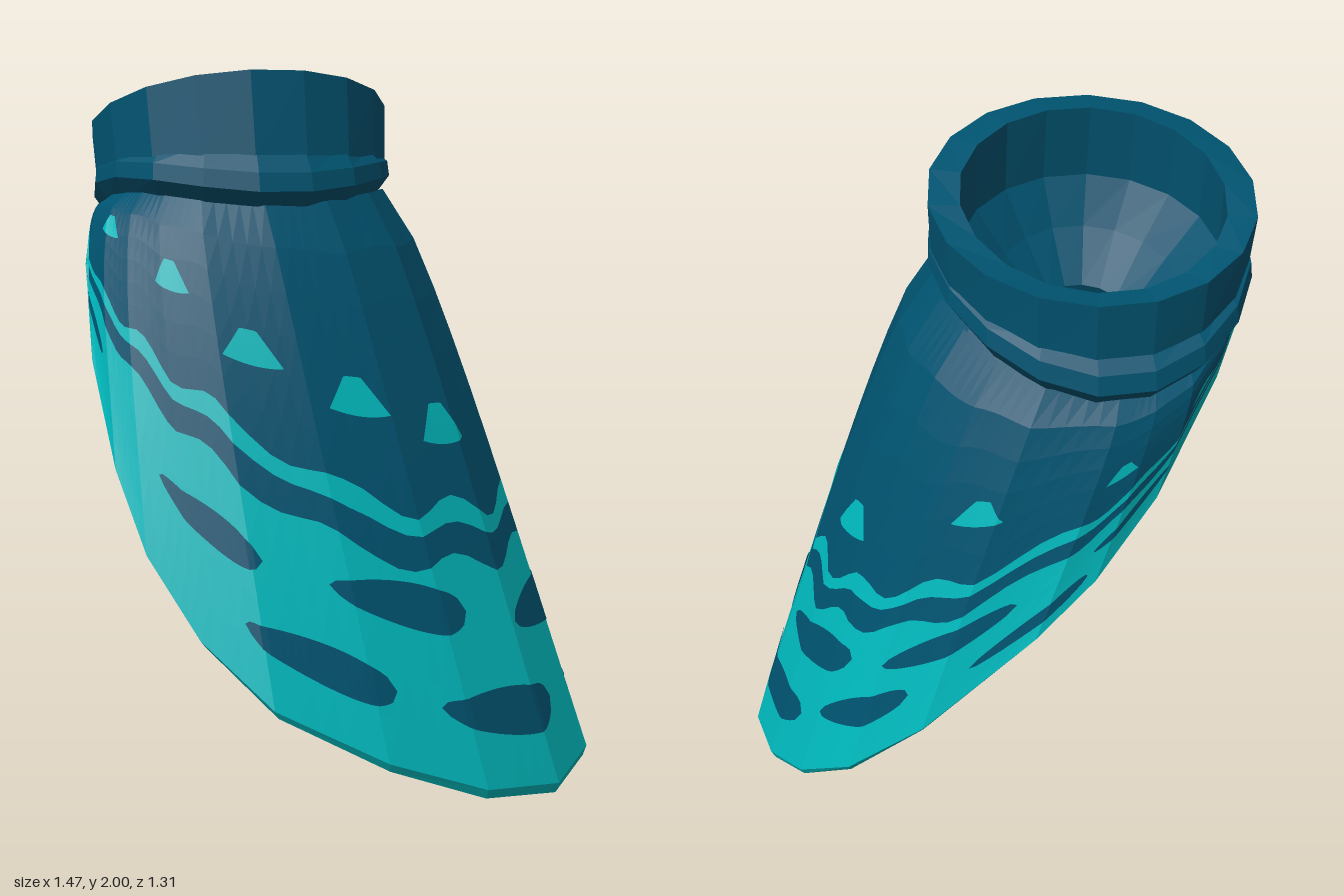
import * as THREE from 'three';

const navy = new THREE.MeshStandardMaterial({ color: 0x00526f, side: THREE.DoubleSide });
navy.name = 'deepBlue';
const teal = new THREE.MeshStandardMaterial({ color: 0x00b8bc, side: THREE.DoubleSide });
teal.name = 'teal';

// Slanted bottom rim, running from left (+x) over front (+z) to right and back
const RIM = [
  [0.74, 0.04, 0.05], [0.68, 0.01, 0.31], [0.48, 0, 0.51], [0.2, 0.07, 0.63], [-0.1, 0.2, 0.66],
  [-0.4, 0.37, 0.62], [-0.56, 0.54, 0.5], [-0.67, 0.75, 0.39], [-0.72, 0.96, 0.27], [-0.74, 1.23, 0.1],
  [-0.72, 1.48, -0.06], [-0.655, 1.565, -0.245], [-0.52, 1.44, -0.44], [-0.33, 1.18, -0.585], [-0.16, 0.98, -0.645],
  [0, 0.82, -0.66], [0.3, 0.5, -0.6], [0.5, 0.29, -0.49], [0.63, 0.15, -0.33], [0.71, 0.06, -0.14],
];
const COLS = RIM.length;
const THICK = 0.02;
const HEM = 0.982;

// Point on one column of the shell: t = 0 at the neck, 1 at the rim
function columnPoint(i, t, off) {
  const [rx, ry, rz] = RIM[((i % COLS) + COLS) % COLS];
  const a = Math.atan2(rz, rx), c = Math.cos(a), s = Math.sin(a);
  const neck = new THREE.Vector3(-0.23 + 0.4 * c, 1.66 + 0.09 * s - 0.1 * s * s, -0.17 + 0.38 * s);
  const rim = new THREE.Vector3(rx, ry, rz);
  // Fuller over the sides and back than over the front
  const length = neck.distanceTo(rim);
  const fullness = Math.min(1, length / 0.7) * (0.025 + (c < 0 ? 0.045 : 0.025) * c * c + 0.015 * Math.max(0, -s));
  const bulge = fullness * Math.sin(Math.PI * Math.pow(t, 0.48)) + off;
  return neck.lerp(rim, t).add(new THREE.Vector3(c * bulge, 0, s * bulge));
}

// Faceted shell: straight between neighbouring columns
function shell(u, t, off) {
  const i = Math.floor(u + 1e-6);
  return columnPoint(i, t, off).lerp(columnPoint(i + 1, t, off), Math.max(0, u - i));
}

// Flat-faceted surface from a grid of points
function grid(nu, nv, point) {
  const pos = [];
  for (let i = 0; i < nu; i++) {
    for (let j = 0; j < nv; j++) {
      const a = point(i / nu, j / nv), b = point((i + 1) / nu, j / nv);
      const c = point((i + 1) / nu, (j + 1) / nv), d = point(i / nu, (j + 1) / nv);
      for (const p of [a, b, c, a, c, d]) pos.push(p.x, p.y, p.z);
    }
  }
  const g = new THREE.BufferGeometry();
  g.setAttribute('position', new THREE.Float32BufferAttribute(pos, 3));
  g.computeVertexNormals();
  return g;
}

export function createModel() {
  const model = new THREE.Group();
  model.name = 'flaredSleeve';

  const add = (parent, name, geometry, material) => {
    const mesh = new THREE.Mesh(geometry, material);
    mesh.name = name;
    parent.add(mesh);
  };
  const group = (name) => {
    const g = new THREE.Group();
    g.name = name;
    model.add(g);
    return g;
  };

  // Wavy colour bands on both walls, climbing to the right shoulder and narrowing on the left
  const climb = (u) => 0.12 * Math.max(0, 1 - ((u - 8) / 4.2) ** 2);
  const leftness = (u) => Math.max(0, Math.cos((u / COLS) * Math.PI * 2));
  const wave = (u, base, amp, ph) => base - climb(u) + amp * Math.sin((u / COLS) * Math.PI * 28 + ph);
  const edges = [
    () => 0,
    (u) => wave(u, 0.49 + 0.035 * leftness(u), 0.022, 0.5),
    (u) => wave(u, 0.537 + 0.02 * leftness(u), 0.014, 0.2),
    (u) => wave(u, 0.607, 0.018, -0.4),
    () => 1,
  ];
  const bandNames = ['shoulder', 'upperWave', 'darkWave', 'skirt'];
  const walls = group('walls');
  bandNames.forEach((name, k) => {
    const rows = k === 0 ? 6 : k === 3 ? 4 : 1;
    for (const [side, off, end] of [['Outer', 0, HEM], ['Inner', -THICK, 1]]) {
      const g = grid(COLS * 5, rows, (p, q) => {
        const u = (side === 'Outer' ? p : 1 - p) * COLS;
        return shell(u, Math.min(end, THREE.MathUtils.lerp(edges[k](u), edges[k + 1](u), q)), off);
      });
      add(walls, name + side, g, k % 2 ? teal : navy);
    }
  });

  // Bevelled hem joining both walls along the rim
  add(model, 'hem', grid(COLS, 1, (p, q) => shell(p * COLS, HEM + (1 - HEM) * q, -THICK * q)), teal);

  // Spots on both walls, each [column, t, half width]; outline gives both edges for s in -1..1
  function spots(name, list, outline, material) {
    const parent = group(name);
    for (const [u0, t0, halfWidth] of list) {
      for (const off of [0.004, -THICK - 0.004]) {
        const g = grid(20, 1, (p, q) => {
          const s = (off > 0 ? p : 1 - p) * 2 - 1;
          const [top, bottom] = outline(s);
          const u = (u0 + s * halfWidth + COLS) % COLS;
          return shell(u, t0 + THREE.MathUtils.lerp(top, bottom, q), off);
        });
        add(parent, 'spot', g, material);
      }
    }
  }
  // Long tapered drops
  const drop = (s) => {
    const h = 0.04 * Math.sqrt(Math.max(0, 1 - s * s)) * (1 - 0.3 * s);
    return [-h, h];
  };
  // Small blunt triangles
  const tooth = (s) => [0.022 - 0.06 * Math.min(1, 1.4 * (1 - Math.abs(s))), 0.022 + 0.008 * (1 - s * s)];
  spots('upperDarkSpots', [
    [1.1, 0.71, 0.85], [3.45, 0.685, 0.78], [5.7, 0.69, 0.82], [8.8, 0.62, 0.6],
    [13.7, 0.71, 0.7], [16.2, 0.7, 0.8], [18.7, 0.69, 1.05],
  ], drop, navy);
  spots('lowerDarkSpots', [
    [2.45, 0.855, 0.85], [4.5, 0.845, 0.75],
    [15, 0.855, 0.7], [17.2, 0.825, 0.78], [19.7, 0.855, 1.25],
  ], drop, navy);
  spots('tealSpots', [
    [0.4, 0.42, 0.4], [2.25, 0.38, 0.36], [3.4, 0.335, 0.38], [4.6, 0.28, 0.36], [5.8, 0.18, 0.36],
    [7.8, 0.12, 0.4], [12.6, 0.3, 0.3], [14.4, 0.32, 0.34], [16.3, 0.32, 0.38], [18.7, 0.41, 0.45],
  ], tooth, teal);

  // Tilted loops lofted in order: [height, tilt, sag, radius x, radius z, centre z]
  const SIDES = 18;
  function loft(name, loops) {
    const g = grid(SIDES, loops.length - 1, (p, q) => {
      const [y, tilt, sag, rx, rz, cz] = loops[Math.round(q * (loops.length - 1))];
      const a = -p * Math.PI * 2, s = Math.sin(a);
      return new THREE.Vector3(-0.24 + rx * Math.cos(a), y + tilt * s - sag * s * s, cz + rz * s);
    });
    add(model, name, g, navy);
  }
  loft('neckFold', [
    [1.65, 0.09, 0.11, 0.39, 0.37, -0.17],
    [1.7, 0.09, 0.11, 0.425, 0.42, -0.17],
    [1.74, 0.09, 0.1, 0.42, 0.41, -0.17],
    [1.755, 0.1, 0.05, 0.385, 0.36, -0.17],
  ]);
  loft('collar', [
    [1.71, 0.1, 0.03, 0.39, 0.35, -0.17],
    [1.7, 0.1, 0.03, 0.415, 0.38, -0.17],
    [1.87, 0.135, 0.005, 0.425, 0.365, -0.19],
    [1.87, 0.13, 0.005, 0.345, 0.29, -0.2],
    [1.7, 0.1, 0, 0.345, 0.3, -0.19],
  ]);
  // Funnel lining with an open centre
  loft('collarLining', [
    [1.7, 0.1, 0, 0.345, 0.3, -0.19],
    [1.6, 0.07, 0, 0.25, 0.24, -0.18],
    [1.48, 0.05, 0, 0.14, 0.16, -0.18],
  ]);

  return model;
}
